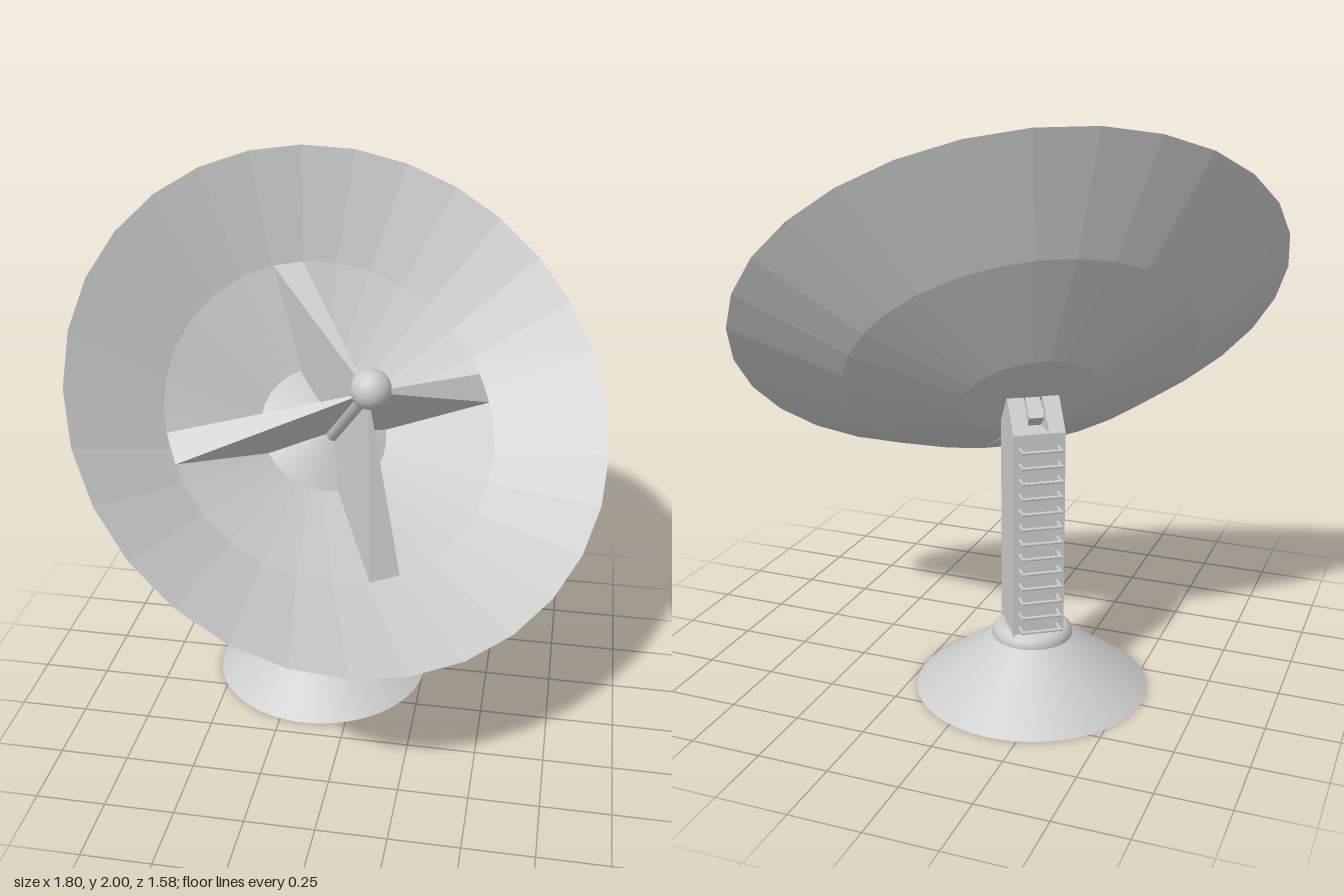
import * as THREE from 'three';

const grey = new THREE.MeshStandardMaterial({ color: 0xcccccc });
const flat = new THREE.MeshStandardMaterial({ color: 0xcccccc, flatShading: true, side: THREE.DoubleSide });
const v2 = (p) => new THREE.Vector2(p[0], p[1]);

function add(parent, name, geometry, material = grey, x = 0, y = 0, z = 0) {
  const mesh = new THREE.Mesh(geometry, material);
  mesh.name = name;
  mesh.position.set(x, y, z);
  parent.add(mesh);
  return mesh;
}

// Lathe whose axis points along +z
function latheZ(profile, segments, start = 0) {
  return new THREE.LatheGeometry(profile.map(v2), segments, start).rotateX(Math.PI / 2);
}

// Wedge-shaped fin from the hub to the middle of the bowl, thicker outwards;
// its inner edge follows the feed rod, which sits slightly below the axis
function finGeometry(angle, drop) {
  const reach = 0.614, width = 0.117;
  const shape = new THREE.Shape([[0.012, 0.13], [0.012, -0.34], [0.23, -0.345], [reach, -0.21]].map(v2));
  const geo = new THREE.ExtrudeGeometry(shape, { depth: 1, bevelEnabled: false });
  const pos = geo.attributes.position;
  const radii = [];
  for (let i = 0; i < pos.count; i++) {
    const r = pos.getX(i);
    radii.push(r);
    pos.setZ(i, (pos.getZ(i) - 0.5) * width * r / reach);
  }
  geo.rotateX(Math.PI / 2).rotateZ(angle);
  for (let i = 0; i < pos.count; i++) pos.setY(i, pos.getY(i) - drop * (1 - radii[i] / reach));
  geo.computeVertexNormals();
  return geo;
}

// Extrudes a side profile given as (z, y) across x, centred on x
function sideProfile(points, thickness) {
  const shape = new THREE.Shape(points.map(([z, y]) => new THREE.Vector2(-z, y)));
  return new THREE.ExtrudeGeometry(shape, { depth: thickness, bevelEnabled: false })
    .translate(0, 0, -thickness / 2).rotateY(Math.PI / 2);
}

function buildStand() {
  const stand = new THREE.Group();
  stand.name = 'stand';

  // Conical foot and rounded collar
  add(stand, 'foot', new THREE.CylinderGeometry(0.14, 0.41, 0.195, 48), grey, 0, 0.0975, 0);
  add(stand, 'collar', new THREE.TorusGeometry(0.1, 0.042, 12, 40).rotateX(Math.PI / 2), grey, 0, 0.198, 0);

  // Square post with two gabled cheeks around a slot
  const half = 0.09;
  add(stand, 'post', new THREE.BoxGeometry(0.18, 0.77, 0.18), grey, 0, 0.575, 0);
  const gable = [[-half, 0.96], [half, 0.96], [0.01, 1.06], [-0.005, 1.06]];
  for (const side of [-1, 1]) add(stand, 'cheek', sideProfile(gable, 0.057), flat, side * 0.0615, 0, 0);

  // Hinge pin and the lug that carries the bowl
  add(stand, 'hingePin', new THREE.CylinderGeometry(0.022, 0.022, 0.13, 16).rotateZ(Math.PI / 2), grey, 0, 1.0, 0);
  const lug = add(stand, 'lug', new THREE.BoxGeometry(0.05, 0.05, 0.1), grey, 0, 1.02, 0.005);
  lug.rotation.x = -0.766;

  // Staple-shaped rungs up the back of the post
  for (let i = 0; i < 13; i++) {
    const rung = new THREE.Group();
    rung.name = 'rung';
    rung.position.set(0, 0.26 + i * 0.0543, -half);
    add(rung, 'rungBar', new THREE.CylinderGeometry(0.006, 0.006, 0.142, 8).rotateZ(Math.PI / 2), grey, 0, 0, -0.042);
    for (const side of [-1, 1]) {
      add(rung, 'rungEnd', new THREE.CylinderGeometry(0.006, 0.006, 0.048, 8).rotateX(Math.PI / 2), grey, side * 0.066, 0, -0.02);
    }
    stand.add(rung);
  }
  return stand;
}

function buildDish() {
  const dish = new THREE.Group();
  dish.name = 'dish';
  const drop = 0.04;

  // Thin faceted bowl and raised hub
  const bowl = [[0.001, -0.35], [0.24, -0.345], [0.62, -0.21], [0.984, 0]];
  add(dish, 'bowl', latheZ(bowl, 30, Math.PI / 30), flat);
  const hub = [[0.24, -0.343], [0.17, -0.315], [0.1, -0.285], [0.05, -0.265], [0.001, -0.26]];
  const hubMaterial = grey.clone();
  hubMaterial.side = THREE.DoubleSide;
  add(dish, 'hub', latheZ(hub, 30, Math.PI / 30), hubMaterial);

  // Feed rod with ball, held by four fins
  add(dish, 'feedRod', new THREE.CylinderGeometry(0.031, 0.031, 0.47, 20).rotateX(Math.PI / 2), grey, 0, -drop, -0.075);
  add(dish, 'feedBall', new THREE.SphereGeometry(0.07, 28, 18), grey, 0, -drop, 0.168);
  for (let i = 0; i < 4; i++) add(dish, 'fin', finGeometry(i * Math.PI / 2, drop), flat);
  return dish;
}

export function createModel() {
  const model = new THREE.Group();
  model.name = 'dishAntenna';
  const heading = 0.597, elevation = 0.766;

  const stand = buildStand();
  stand.position.set(-0.157, 0, -0.223);
  stand.rotation.y = heading;

  const dish = buildDish();
  dish.position.set(0, 1.29, 0);
  dish.rotation.set(-elevation, heading, 0, 'YXZ');

  model.add(stand, dish);
  return model;
}
